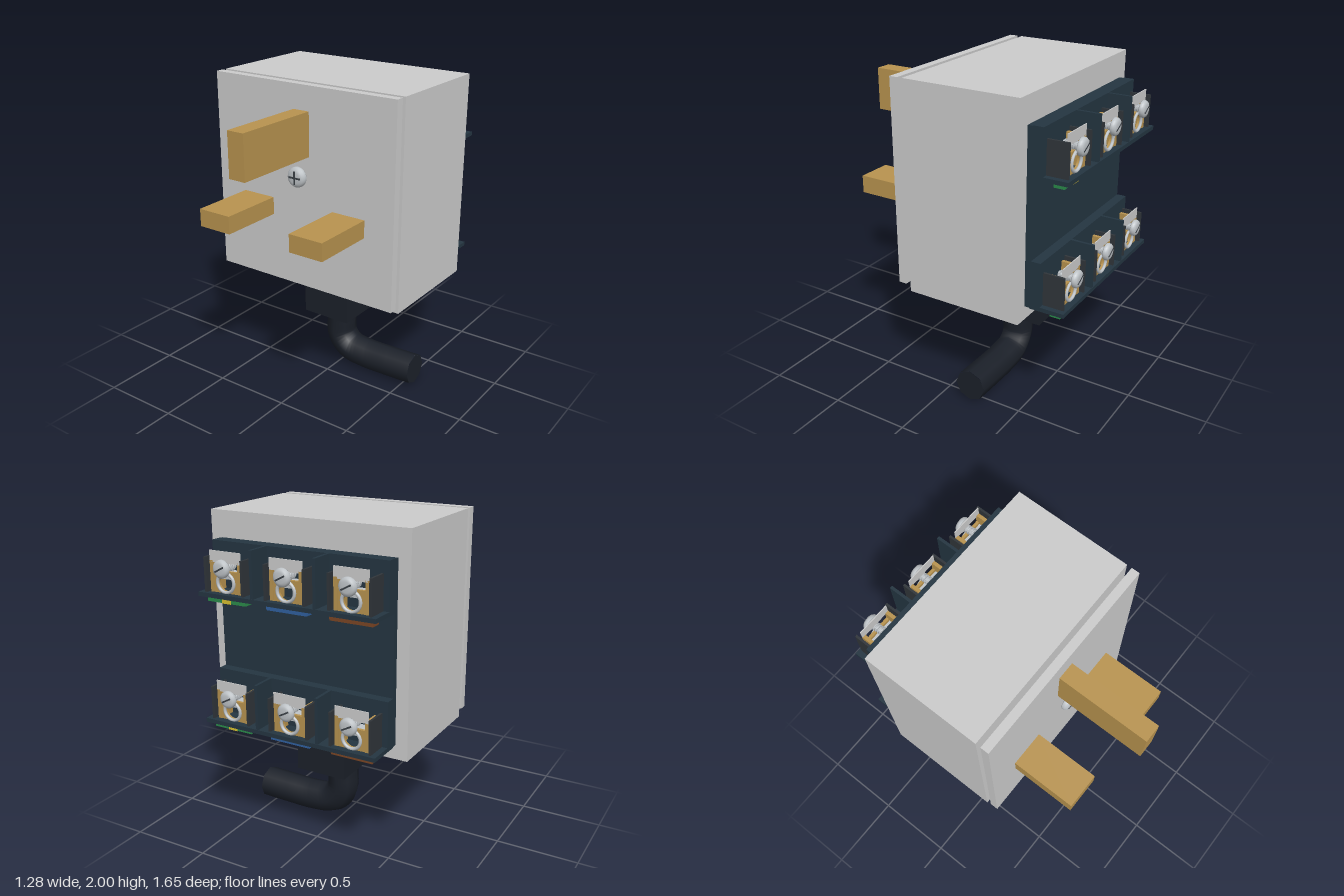
import * as THREE from 'three';

const paint = (color, extra = {}) => new THREE.MeshStandardMaterial({ color, ...extra });

export function createModel() {
  const model = new THREE.Group();
  model.name = 'plugTerminalBox';

  const shell = paint(0xcccccc);
  const brass = paint(0xb8934f);
  const navy = paint(0x243541);
  const black = paint(0x1b2029);
  const darkGrey = paint(0x30353a);
  const steel = paint(0xbfc4c8);
  const slotDark = paint(0x3a4046);
  const white = paint(0xdcdcd8);
  const green = paint(0x2a8a4a), blue = paint(0x2f5f9e), brown = paint(0x7a4524), yellow = paint(0xd8c030);

  const add = (parent, name, geometry, material) => {
    const mesh = new THREE.Mesh(geometry, material);
    mesh.name = name;
    parent.add(mesh);
    return mesh;
  };
  // Box given by its lower and upper limits on each axis
  const box = (parent, name, material, [x0, x1], [y0, y1], [z0, z1]) => {
    const mesh = add(parent, name, new THREE.BoxGeometry(x1 - x0, y1 - y0, z1 - z0), material);
    mesh.position.set((x0 + x1) / 2, (y0 + y1) / 2, (z0 + z1) / 2);
    return mesh;
  };
  // Pan head screw facing +z, flat side on z = 0
  const panHead = (parent, name, r, h, slots) => {
    const group = new THREE.Group();
    group.name = name;
    const profile = [[0, 0], [r * 0.96, 0], [r, h * 0.12], [r, h * 0.55], [r * 0.85, h * 0.85], [r * 0.55, h], [0, h]]
      .map(([x, y]) => new THREE.Vector2(x, y));
    add(group, 'screwHead', new THREE.LatheGeometry(profile, 24), steel).rotation.x = Math.PI / 2;
    for (let i = 0; i < slots; i++) {
      const slot = add(group, 'screwSlot', new THREE.BoxGeometry(r * 1.3, r * 0.18, h * 0.3), slotDark);
      slot.position.z = h * 0.88;
      slot.rotation.z = i * Math.PI / 2;
    }
    parent.add(group);
    return group;
  };

  // Housing and separate front cover
  box(model, 'housing', shell, [-0.64, 0.64], [0.70, 2.0], [-0.565, 0.175]);
  box(model, 'frontCover', shell, [-0.64, 0.64], [0.74, 2.0], [0.206, 0.258]);

  // Plug pins
  box(model, 'earthPin', brass, [-0.055, 0.055], [1.58, 1.85], [0.25, 0.825]);
  for (const s of [-1, 1]) {
    const pin = box(model, 'powerPin', brass, [-0.1125, 0.1125], [1.165, 1.275], [0.25, 0.668]);
    pin.position.x = s * 0.3325;
  }
  panHead(model, 'coverScrew', 0.062, 0.042, 2).position.set(0, 1.46, 0.29);

  // Cable outlet with side latches
  box(model, 'cableOutlet', black, [-0.165, 0.165], [0.415, 0.705], [-0.445, 0.018]);
  const latchShape = new THREE.Shape();
  [[0, 0.565], [0.185, 0.565], [0.2, 0.585], [0.2, 0.65], [0.185, 0.67], [0, 0.67]]
    .forEach(([x, y], i) => (i ? latchShape.lineTo(x, y) : latchShape.moveTo(x, y)));
  for (const s of [0, 1]) {
    const latch = add(model, 'outletLatch',
      new THREE.ExtrudeGeometry(latchShape, { depth: 0.07, bevelEnabled: false }), darkGrey);
    latch.rotation.y = s * Math.PI;
    latch.position.z = s ? -0.205 : -0.275;
  }

  // Bent cable with a closed end
  const path = new THREE.CatmullRomCurve3([[0, 0.44], [-0.012, 0.32], [-0.008, 0.21], [0.06, 0.13],
    [0.19, 0.107], [0.38, 0.107], [0.565, 0.112]].map(([x, y]) => new THREE.Vector3(x, y, -0.192)));
  add(model, 'cable', new THREE.TubeGeometry(path, 28, 0.1, 8), black);
  const tip = add(model, 'cableEnd', new THREE.CircleGeometry(0.1, 8), black);
  tip.position.copy(path.getPoint(1));
  tip.rotation.y = Math.PI / 2;

  // Rear mounting panel
  box(model, 'terminalPanel', navy, [-0.565, 0.565], [0.785, 1.842], [-0.6, -0.56]);

  // One clamp, centred on x = 0, heights measured from the bottom of its strip
  const addTerminal = (parent, x) => {
    const clamp = new THREE.Group();
    clamp.name = 'terminal';
    clamp.position.x = x;
    parent.add(clamp);
    for (const s of [-1, 1]) {
      const cheek = box(clamp, 'clampHousingSide', darkGrey, [-0.007, 0.007], [0.02, 0.225], [-0.79, -0.65]);
      cheek.position.x = s * 0.124;
      const leg = box(clamp, 'clampLeg', brass, [-0.011, 0.011], [0.02, 0.205], [-0.768, -0.65]);
      leg.position.x = s * 0.094;
    }
    box(clamp, 'clampSeat', steel, [-0.084, 0.084], [0.10, 0.135], [-0.745, -0.65]);

    // Brass face with a round wire opening
    const face = new THREE.Shape();
    face.moveTo(-0.083, 0.02).lineTo(0.083, 0.02).lineTo(0.083, 0.15).lineTo(-0.083, 0.15).closePath();
    const opening = new THREE.Path();
    opening.absarc(0, 0.085, 0.05, 0, Math.PI * 2, true);
    face.holes.push(opening);
    add(clamp, 'clampFace', new THREE.ExtrudeGeometry(face, { depth: 0.018, bevelEnabled: false, curveSegments: 16 }), brass)
      .position.z = -0.765;
    const ring = add(clamp, 'wireRing', new THREE.TorusGeometry(0.056, 0.01, 8, 24), steel);
    ring.position.set(0, 0.085, -0.768);

    // Clamp screw with a helical thread
    const shaft = add(clamp, 'screwShaft', new THREE.CylinderGeometry(0.02, 0.02, 0.11, 16), steel);
    shaft.rotation.x = Math.PI / 2;
    shaft.position.set(0, 0.17, -0.745);
    const turns = Array.from({ length: 61 }, (_, i) => {
      const a = i / 60 * Math.PI * 12;
      return new THREE.Vector3(0.022 * Math.cos(a), 0.17 + 0.022 * Math.sin(a), -0.697 - 0.09 * i / 60);
    });
    add(clamp, 'screwThread', new THREE.TubeGeometry(new THREE.CatmullRomCurve3(turns), 120, 0.005, 5), steel);
    const head = panHead(clamp, 'clampScrew', 0.052, 0.034, 1);
    head.rotation.set(0, Math.PI, 0.5);
    head.position.set(0, 0.17, -0.79);

    // Blank marker tag
    box(clamp, 'markerTag', white, [-0.105, 0.105], [0.195, 0.262], [-0.768, -0.762]);
  };

  // Two terminal strips, each with three clamps
  for (const y of [0.78, 1.55]) {
    const strip = new THREE.Group();
    strip.name = 'terminalStrip';
    strip.position.y = y;
    model.add(strip);
    box(strip, 'stripBack', navy, [-0.565, 0.565], [0, 0.295], [-0.66, -0.595]);
    box(strip, 'stripShelf', navy, [-0.565, 0.565], [0, 0.025], [-0.808, -0.65]);
    for (const x of [-0.2, 0.2]) box(strip, 'divider', navy, [x - 0.009, x + 0.009], [0.01, 0.295], [-0.805, -0.65]);
    [[0.4, green], [0, blue], [-0.4, brown]].forEach(([x, color]) => {
      addTerminal(strip, x);
      box(strip, 'colourMarker', color, [x - 0.13, x + 0.13], [-0.033, 0.005], [-0.77, -0.705]);
    });
    box(strip, 'earthStripe', yellow, [0.37, 0.43], [-0.035, 0], [-0.772, -0.703]);
  }
  return model;
}
